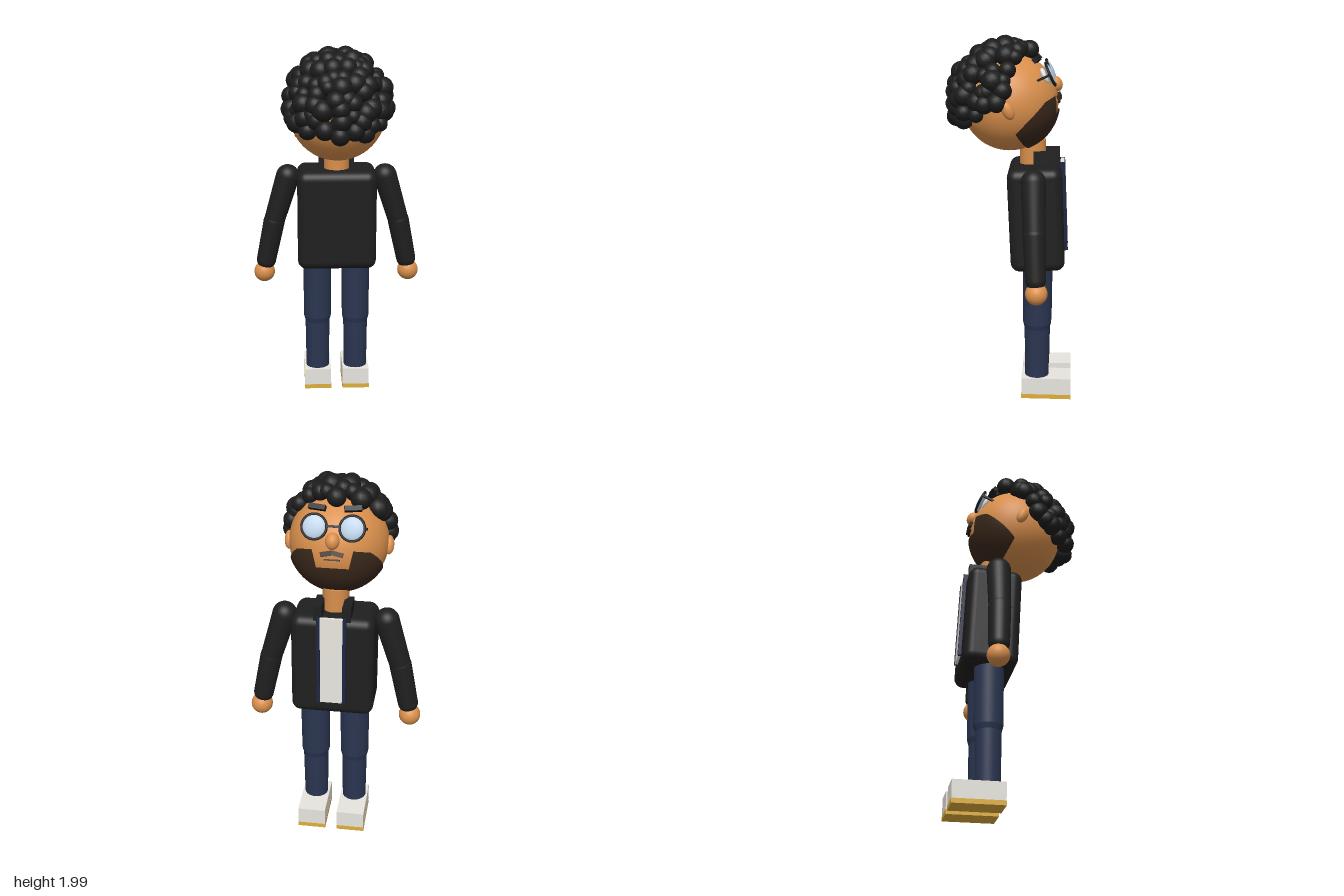
import * as THREE from 'three';
import { mergeGeometries } from 'three/addons/utils/BufferGeometryUtils.js';
import { RoundedBoxGeometry } from 'three/addons/geometries/RoundedBoxGeometry.js';

const mat = (name, color, side = THREE.FrontSide) => {
  const m = new THREE.MeshStandardMaterial({ color, side });
  m.name = name;
  return m;
};

const M = {
  skin: mat('skin', 0xd98f4c),
  hair: mat('hair black', 0x1c1c1c),
  jacket: mat('jacket black', 0x1f1f1f),
  denim: mat('denim navy', 0x2a3550),
  trim: mat('trim navy', 0x1c2540),
  pale: mat('pale grey', 0xe8e5de),
  sole: mat('sole yellow', 0xdfae3c),
  beard: mat('beard brown', 0x3a281b, THREE.DoubleSide),
  lens: mat('lens blue', 0xc2d6ec),
};

function add(parent, name, geo, material, pos = [0, 0, 0], rot = [0, 0, 0], scale = [1, 1, 1]) {
  const mesh = new THREE.Mesh(geo, material);
  mesh.name = name;
  mesh.position.set(...pos);
  mesh.rotation.set(...rot);
  mesh.scale.set(...scale);
  parent.add(mesh);
  return mesh;
}

const ball = (r) => new THREE.SphereGeometry(r, 28, 20);
const box = (x, y, z) => new THREE.BoxGeometry(x, y, z);

// Tapered limb with round ends, running from a to b
function limb(parent, name, material, a, b, ra, rb) {
  const A = new THREE.Vector3(...a), B = new THREE.Vector3(...b);
  const dir = B.clone().sub(A);
  const tube = new THREE.CylinderGeometry(rb, ra, dir.length(), 28, 1, true);
  tube.applyQuaternion(new THREE.Quaternion().setFromUnitVectors(new THREE.Vector3(0, 1, 0), dir.clone().normalize()));
  const mid = A.clone().add(B).multiplyScalar(0.5);
  tube.translate(mid.x, mid.y, mid.z);
  add(parent, name, mergeGeometries([tube, ball(ra).translate(...a), ball(rb).translate(...b)]), material);
}

// Shell over the jaw, its top edge cut away around the mouth
function beardGeometry(r) {
  const cols = 114;
  const geo = new THREE.SphereGeometry(r, cols, 16, 0, Math.PI * 2, 0.1, 2.9);
  const p = geo.attributes.position, uv = geo.attributes.uv, n = geo.attributes.normal;
  const v = new THREE.Vector3();
  for (let i = 0; i < p.count; i++) {
    const deg = ((i % (cols + 1)) / cols - 0.5) * 190;
    const a = THREE.MathUtils.degToRad(deg), off = Math.abs(deg);
    const top = off < 23 ? -0.55 : THREE.MathUtils.mapLinear(Math.max(off, 45), 45, 95, -0.22, -0.53);
    const t0 = Math.acos(top);
    const t = t0 + (Math.PI - t0) * (1 - uv.getY(i));
    v.set(-Math.sin(a) * Math.sin(t), Math.cos(t), -Math.cos(a) * Math.sin(t));
    n.setXYZ(i, v.x, v.y, v.z);
    p.setXYZ(i, v.x * r, v.y * r, v.z * r);
  }
  return geo;
}

// Loose curly clumps over the scalp, above a hairline that climbs to the forehead
function hairGeometry() {
  let seed = 7;
  const rand = () => (seed = (seed * 16807) % 2147483647) / 2147483647;
  const clumps = [], count = 250;
  const d = new THREE.Vector3();
  for (let i = 0; i < count; i++) {
    const y = 1 - (2 * (i + 0.5)) / count;
    const ring = Math.sqrt(1 - y * y), a = i * 2.39996;
    const jitter = () => (rand() - 0.5) * 0.16;
    d.set(ring * Math.cos(a) + jitter(), y + jitter(), ring * Math.sin(a) + jitter()).normalize();
    const front = THREE.MathUtils.smoothstep(-d.z, -0.2, 0.35);
    const hairline = 0.1 + (0.58 - 0.12 * Math.abs(d.x)) * front;
    const size = 0.04 + 0.02 * rand();
    const lift = 1 + 0.05 * (rand() - 0.5);
    if (d.y < hairline) continue;
    clumps.push(new THREE.SphereGeometry(size, 16, 12)
      .translate(d.x * 0.265 * lift, d.y * 0.296 * lift, d.z * 0.293 * lift));
  }
  return mergeGeometries(clumps);
}

function buildHead() {
  const head = new THREE.Group();
  head.name = 'head';
  head.position.set(0, 1.64, -0.004);
  head.rotation.x = THREE.MathUtils.degToRad(25);

  add(head, 'skull', new THREE.SphereGeometry(0.26, 48, 32), M.skin);
  add(head, 'hair', hairGeometry(), M.hair);
  add(head, 'beard', beardGeometry(0.27), M.beard);
  add(head, 'nose', ball(0.036), M.skin, [0, -0.015, -0.263], [0, 0, 0], [1, 1.2, 1]);
  add(head, 'mouth', box(0.08, 0.008, 0.012), M.hair, [0, -0.108, -0.241]);

  for (const s of [-1, 1]) {
    add(head, 'ear', ball(0.05), M.skin, [s * 0.262, -0.01, 0], [0, 0, 0], [0.5, 1, 0.6]);
    add(head, 'moustache', box(0.062, 0.024, 0.02), M.beard, [s * 0.027, -0.078, -0.255], [0, s * -0.1, s * -0.2]);
    add(head, 'eyebrow', box(0.088, 0.026, 0.026), M.hair, [s * 0.09, 0.15, -0.23], [0.3, s * -0.12, s * 0.14]);
    add(head, 'eye', ball(0.045), M.pale, [s * 0.09, 0.055, -0.232], [0, 0, 0], [1, 1, 0.4]);
    // Round glasses
    add(head, 'lens', ball(0.06), M.lens, [s * 0.095, 0.052, -0.262], [0, 0, 0], [1, 1, 0.3]);
    add(head, 'lensRim', new THREE.TorusGeometry(0.062, 0.007, 8, 32), M.hair, [s * 0.095, 0.052, -0.264]);
    add(head, 'glassesArm', box(0.01, 0.012, 0.16), M.hair, [s * 0.16, 0.055, -0.187]);
  }
  add(head, 'glassesBridge', box(0.066, 0.012, 0.012), M.hair, [0, 0.057, -0.266]);
  return head;
}

function buildTorso() {
  const torso = new THREE.Group();
  torso.name = 'torso';
  torso.position.set(0, 1.03, -0.154);
  torso.rotation.x = 0.045;
  add(torso, 'jacket', new RoundedBoxGeometry(0.44, 0.565, 0.292, 5, 0.05), M.jacket);
  // Shirt front between the jacket's trimmed edges
  add(torso, 'shirtFront', box(0.12, 0.49, 0.02), M.pale, [0, 0.045, -0.15]);
  for (const s of [-1, 1]) {
    add(torso, 'jacketEdge', box(0.018, 0.49, 0.028), M.trim, [s * 0.068, 0.045, -0.15]);
    add(torso, 'collar', box(0.045, 0.11, 0.14), M.jacket, [s * 0.075, 0.295, -0.065], [-0.045, 0, 0]);
  }
  return torso;
}

export function createModel() {
  const model = new THREE.Group();
  model.name = 'figure';
  model.add(buildHead(), buildTorso());
  add(model, 'neck', new THREE.CylinderGeometry(0.07, 0.07, 0.16, 28), M.skin, [0, 1.36, -0.13]);

  for (const s of [-1, 1]) {
    // Arm
    const elbow = [s * 0.352, 1.0, -0.15];
    limb(model, 'upperSleeve', M.jacket, [s * 0.272, 1.262, -0.142], elbow, 0.066, 0.058);
    limb(model, 'lowerSleeve', M.jacket, elbow, [s * 0.4, 0.772, -0.16], 0.06, 0.055);
    add(model, 'hand', ball(0.059), M.skin, [s * 0.412, 0.7, -0.165]);
    // Leg
    add(model, 'thigh', new THREE.CylinderGeometry(0.08, 0.078, 0.38, 28), M.denim, [s * 0.11, 0.62, -0.163]);
    add(model, 'knee', new THREE.CylinderGeometry(0.078, 0.07, 0.03, 28), M.denim, [s * 0.11, 0.415, -0.163]);
    add(model, 'shin', new THREE.CylinderGeometry(0.07, 0.066, 0.32, 28), M.denim, [s * 0.11, 0.265, -0.163]);
    // Shoe
    add(model, 'shoe', box(0.153, 0.095, 0.274), M.pale, [s * 0.11, 0.0725, -0.216]);
    add(model, 'shoeSole', box(0.155, 0.025, 0.276), M.sole, [s * 0.11, 0.0125, -0.216]);
  }
  return model;
}
